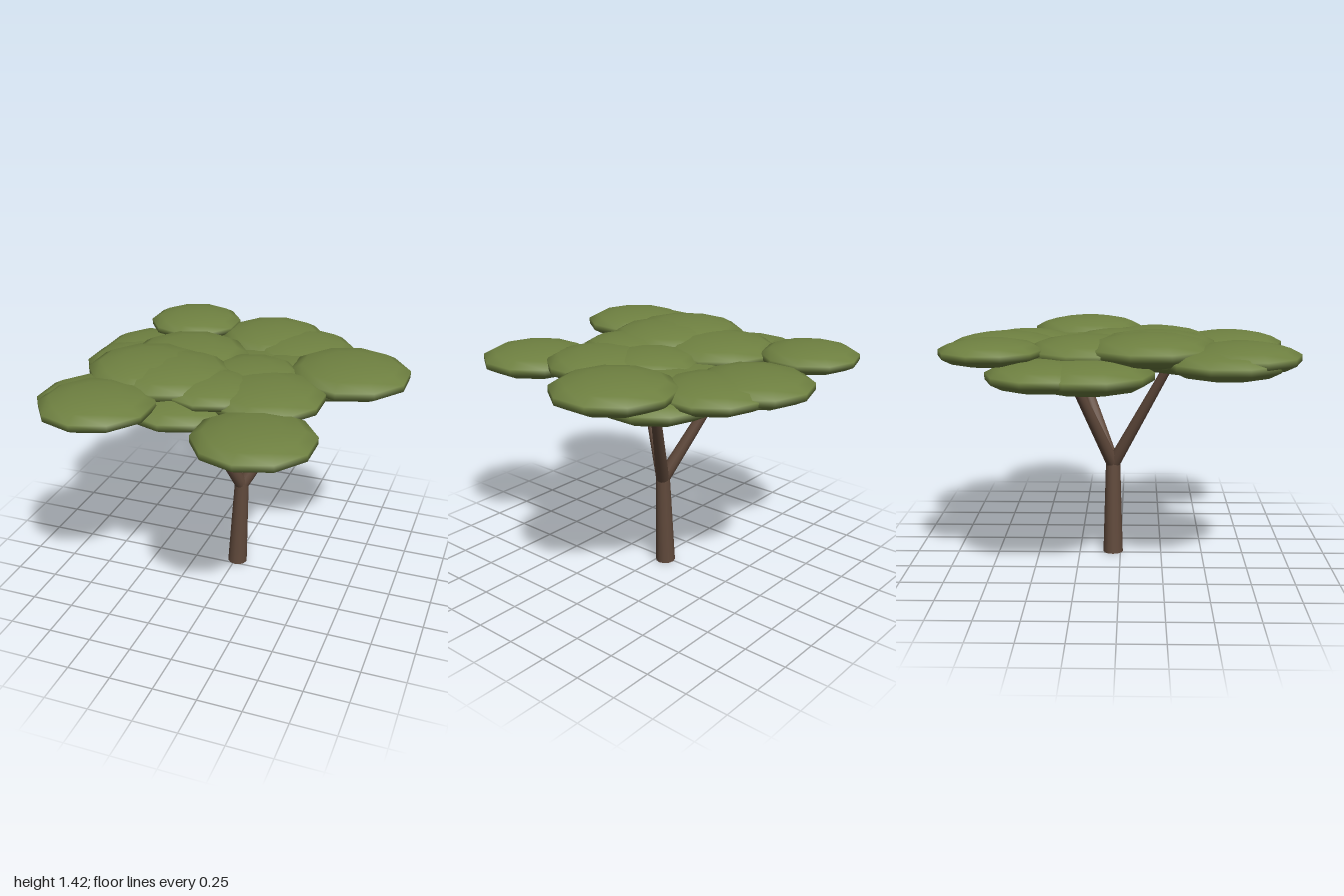
import * as THREE from 'three';

const bark = new THREE.MeshStandardMaterial({ color: 0x614a3c });
bark.name = 'bark brown';
const leaf = new THREE.MeshStandardMaterial({ color: 0x6f8141 });
leaf.name = 'leaf green';

// Tapered limb between two points
function limb(name, from, to, r0, r1) {
  const a = new THREE.Vector3(...from), b = new THREE.Vector3(...to);
  const dir = b.clone().sub(a);
  const mesh = new THREE.Mesh(new THREE.CylinderGeometry(r1, r0, dir.length(), 12), bark);
  mesh.name = name;
  mesh.position.copy(a).add(b).multiplyScalar(0.5);
  mesh.quaternion.setFromUnitVectors(new THREE.Vector3(0, 1, 0), dir.normalize());
  return mesh;
}

export function createModel() {
  const tree = new THREE.Group();
  tree.name = 'flatToppedTree';

  // Trunk and three spreading branches
  const fork = [0.04, 0.575, -0.045];
  tree.add(limb('trunk', [0.013, 0.002, -0.045], fork, 0.06, 0.043));
  const tips = [[0.415, 1.2, -0.3], [-0.25, 1.2, -0.3], [-0.145, 1.2, 0.285]];
  for (const tip of tips) tree.add(limb('branch', [0.04, 0.555, -0.045], tip, 0.04, 0.026));

  // Flattened leaf clumps: x, y, z, radius
  const clumps = [
    [-0.5, 1.32, -0.685, 0.285],
    [0.03, 1.275, -0.67, 0.33],
    [0.25, 1.265, -0.56, 0.317],
    [0.63, 1.3, -0.21, 0.347],
    [0.43, 1.215, -0.32, 0.33],
    [0.3, 1.24, -0.22, 0.33],
    [0.1, 1.215, -0.25, 0.38],
    [-0.65, 1.22, -0.385, 0.315],
    [-0.62, 1.215, -0.16, 0.354],
    [-0.33, 1.3, -0.165, 0.347],
    [-0.44, 1.325, 0.17, 0.35],
    [-0.3, 1.32, 0.195, 0.35],
    [0.26, 1.28, 0.21, 0.335],
    [-0.03, 1.305, 0.27, 0.275],
    [0.11, 1.295, -0.01, 0.28],
    [-0.53, 1.3, 0.655, 0.317],
    [-0.58, 1.275, 0.56, 0.327],
    [0.35, 1.245, 0.665, 0.328],
    [-0.17, 1.235, 0.38, 0.315],
  ];
  const blob = new THREE.SphereGeometry(1.02, 10, 7).rotateY(Math.PI / 2);
  const canopy = new THREE.Group();
  canopy.name = 'canopy';
  for (const [x, y, z, r] of clumps) {
    const mesh = new THREE.Mesh(blob, leaf);
    mesh.name = 'leafClump';
    mesh.position.set(x, y, z);
    mesh.scale.set(r, r * 0.25, r);
    canopy.add(mesh);
  }
  tree.add(canopy);
  return tree;
}
